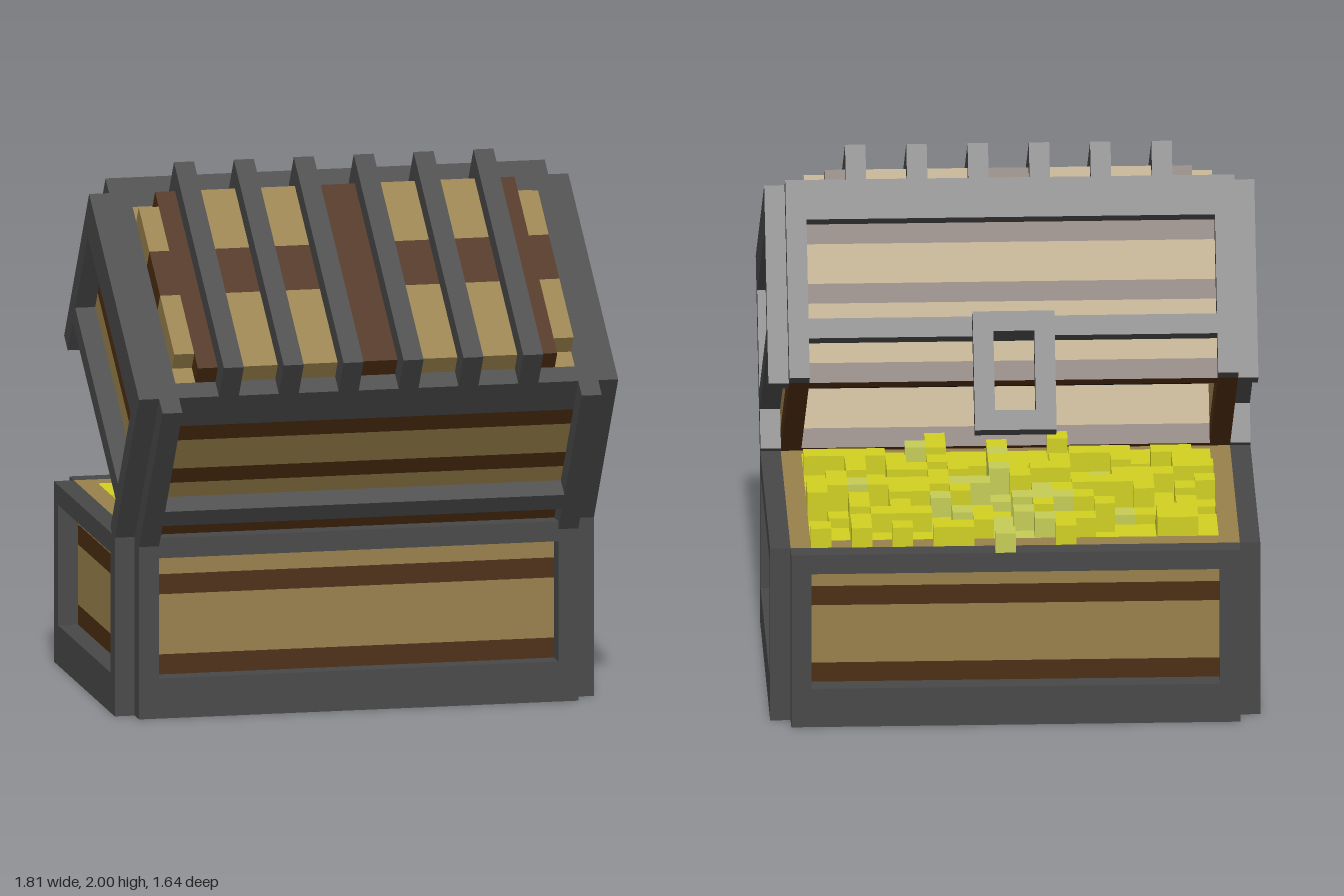
import * as THREE from 'three';

const U = 0.0753; // one block of the modelling grid

const mat = (name, color) => {
  const m = new THREE.MeshStandardMaterial({ color });
  m.name = name;
  return m;
};

export function createModel() {
  const iron = mat('iron grey', 0x474747);
  const plank = mat('light wood', 0x967f4a);
  const band = mat('dark wood', 0x4b2c10);
  const gold = mat('gold', 0xcfce20);
  const paleGold = mat('pale gold', 0xc3cb55);
  const shade = mat('black lining', 0x0a0a0a);

  // Box in grid units: x range, height range, and depth range measured back from the hinge face.
  const box = (parent, name, m, x0, x1, y0, y1, s0, s1) => {
    const mesh = new THREE.Mesh(new THREE.BoxGeometry(x1 - x0, y1 - y0, s1 - s0), m);
    mesh.position.set((x0 + x1) / 2, (y0 + y1) / 2, -(s0 + s1) / 2);
    mesh.name = name;
    parent.add(mesh);
  };
  const pair = (parent, name, m, x0, x1, ...rest) => {
    box(parent, name, m, x0, x1, ...rest);
    box(parent, name, m, -x1, -x0, ...rest);
  };
  // One course of the four walls
  const course = (parent, name, m, y0, y1) => {
    box(parent, name, m, -11, 11, y0, y1, 1, 2);
    box(parent, name, m, -11, 11, y0, y1, 14, 15);
    pair(parent, name, m, 10, 11, y0, y1, 2, 14);
  };
  // Upright iron straps on both sides of each corner
  const posts = (parent, h) => {
    pair(parent, 'cornerPost', iron, 10, 11, 0, h, 0, 1);
    pair(parent, 'cornerPost', iron, 10, 11, 0, h, 15, 16);
    pair(parent, 'cornerPost', iron, 11, 12, 0, h, 1, 2);
    pair(parent, 'cornerPost', iron, 11, 12, 0, h, 14, 15);
  };
  const rails = (parent, y0, y1, hingeSide = true) => {
    if (hingeSide) box(parent, 'rail', iron, -10, 10, y0, y1, 0, 1);
    box(parent, 'rail', iron, -10, 10, y0, y1, 15, 16);
    pair(parent, 'sideRail', iron, 11, 12, y0, y1, 2, 14);
  };

  const model = new THREE.Group();
  model.name = 'treasureChest';

  // Base
  const base = new THREE.Group();
  base.name = 'base';
  base.scale.setScalar(U);
  base.position.z = 0.385;
  model.add(base);
  for (const [m, y0, y1] of [[plank, 0, 2], [band, 2, 3], [plank, 3, 6], [band, 6, 7], [plank, 7, 9]]) {
    course(base, 'baseWall', m, y0, y1);
  }
  box(base, 'floor', plank, -10, 10, 0, 1, 2, 14);
  posts(base, 9);
  rails(base, 0, 2);
  rails(base, 8, 9);

  // Treasure: uneven heap of gold blocks
  const heap = new THREE.Group();
  heap.name = 'treasure';
  base.add(heap);
  let seed = 7;
  const rand = () => (seed = (seed * 16807) % 2147483647) / 2147483647;
  for (let i = 0; i < 5; i++) rand();
  box(heap, 'goldBed', gold, -10, 10, 7, 8.5, 2, 14);
  for (let x = -10; x < 10; x++) {
    for (let s = 2; s < 14; s++) {
      const r = rand();
      const near = Math.hypot(x + 0.5, s - 10) < 4.5;
      const m = rand() < (near ? 0.6 : 0.06) ? paleGold : gold;
      const top = s < 4 ? (r < 0.15 ? 10 : 9) : r < 0.4 ? 10 : r < 0.8 ? 9 : 0;
      if (top) box(heap, 'goldBlock', m, x, x + 1, 8, top, s, s + 1);
    }
  }
  // Loose blocks on the rim
  for (const x of [-3, 2, 3, 5, 7, 9]) box(heap, 'goldBlock', gold, x, x + 1, 9, 10, 14, 15);
  box(heap, 'goldBlock', paleGold, 0, 1, 9, 10, 15, 16);

  // Lid, tipped open about the hinge side
  const lid = new THREE.Group();
  lid.name = 'lid';
  lid.scale.setScalar(U);
  lid.position.set(0, 0.612, 0.36);
  lid.rotation.x = THREE.MathUtils.degToRad(35);
  model.add(lid);
  for (const [m, y0, y1] of [[band, 0, 1], [plank, 1, 4], [band, 4, 5], [plank, 5, 7], [band, 7, 8], [iron, 8, 10]]) {
    course(lid, 'lidWall', m, y0, y1);
  }
  posts(lid, 10);
  rails(lid, 2, 3);
  rails(lid, 8, 10, false);
  box(lid, 'lidLining', shade, -10, 10, 3, 4, 2, 14);

  // Raised planks on top, crossed by a dark band
  for (const [s0, s1, m] of [[2, 7, plank], [7, 10, band], [10, 14, plank]]) {
    pair(lid, 'topPlank', m, 1, 8, 9, 11, s0, s1);
    pair(lid, 'topEdgePlank', m, 9, 10, 9, 11, Math.max(s0, 3), Math.min(s1, 13));
  }
  box(lid, 'topBand', band, -1, 1, 9, 11, 2, 14);
  pair(lid, 'topBand', band, 8, 9, 9, 11, 2, 14);
  for (const s of [2, 13]) pair(lid, 'topLedge', plank, 9, 10, 9, 10, s, s + 1);

  // Iron slats
  for (const x of [1, 4, 7]) pair(lid, 'slat', iron, x, x + 1, 10, 12, 1, 15);

  // Hasp with a square eye
  pair(lid, 'haspSide', iron, 1, 2, -3, 3, 16, 17);
  box(lid, 'haspTop', iron, -1, 1, 2, 3, 16, 17);
  box(lid, 'haspBottom', iron, -1, 1, -3, -2, 16, 17);

  return model;
}
